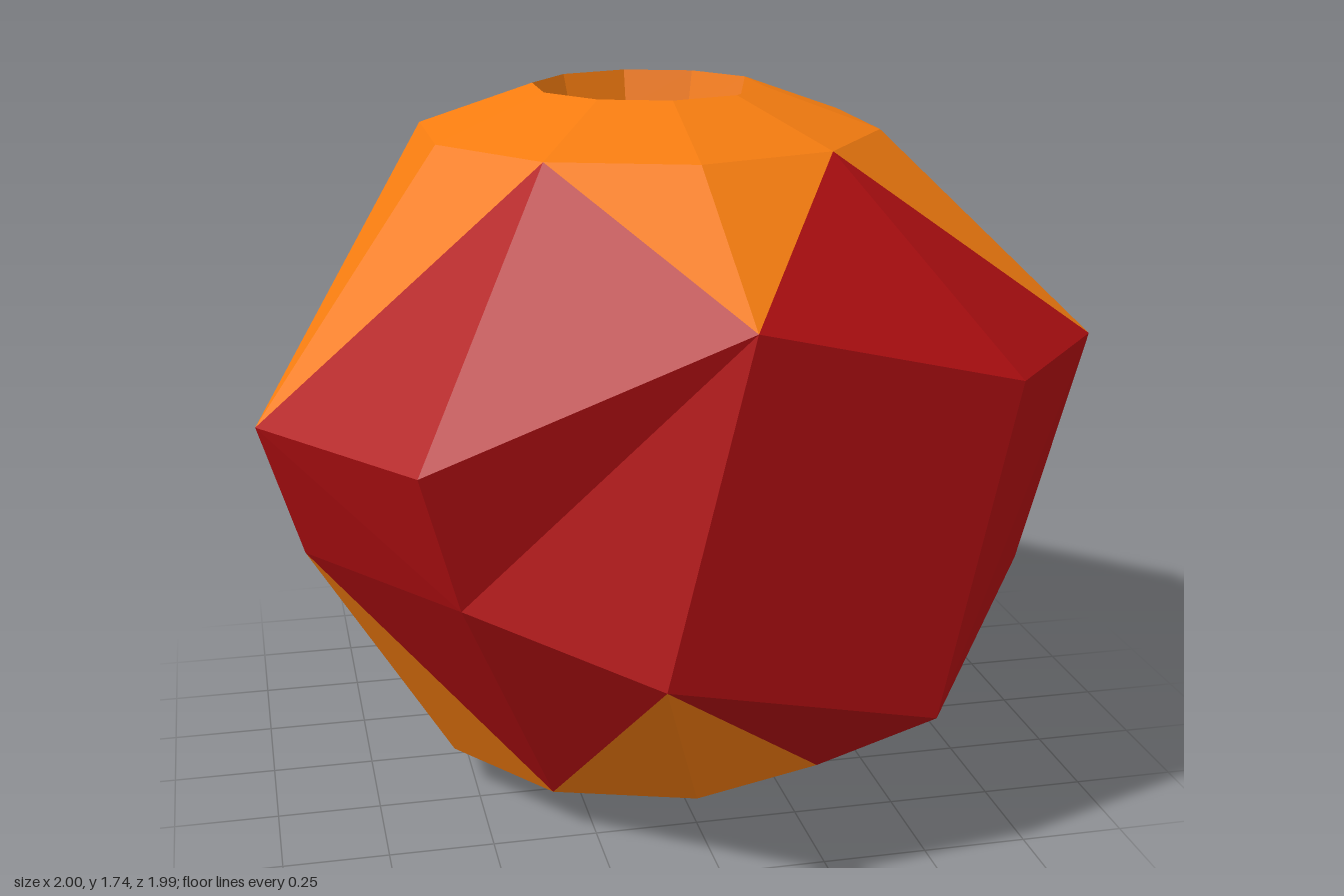
import * as THREE from 'three';

const CX = -0.015; // the bore sits slightly off centre
const HEIGHT = 1.735;
const red = new THREE.MeshStandardMaterial({ color: 0xb30f12, flatShading: true, side: THREE.DoubleSide });
const orange = new THREE.MeshStandardMaterial({ color: 0xf57c10, flatShading: true, side: THREE.DoubleSide });

// Ten irregular corners above and below the middle; even ones are star tips.
// Order runs from the front (+z) round through +x.
const UPPER = [
  [0.02, 1.345, 0.93], [0.68, 1.16, 0.77], [1, 1.155, 0.39], [1, 1.155, -0.4], [0.45, 1.32, -0.77],
  [-0.09, 1.235, -0.93], [-0.53, 1.11, -0.76], [-0.78, 1.14, -0.41], [-1, 1.035, 0.35], [-0.68, 1.04, 0.81],
];
const LOWER = [
  [-0.185, 0.585, 0.99], [0.48, 0.39, 0.84], [0.84, 0.585, 0.39], [0.84, 0.585, -0.4], [0.58, 0.5, -0.84],
  [0.05, 0.425, -1], [-0.65, 0.63, -0.8], [-0.9, 0.67, -0.44], [-0.9, 0.69, 0.26], [-0.59, 0.71, 0.75],
];

// Regular ten-sided ring around the bore
function ring(r, y) {
  return Array.from({ length: 10 }, (_, i) => {
    const a = (i * Math.PI) / 5;
    return [CX + r * Math.sin(a), y, r * Math.cos(a)];
  });
}

function facetMesh(name, triangles, material) {
  const geo = new THREE.BufferGeometry();
  geo.setAttribute('position', new THREE.Float32BufferAttribute(triangles.flat(2), 3));
  geo.computeVertexNormals();
  const mesh = new THREE.Mesh(geo, material);
  mesh.name = name;
  return mesh;
}

// Plain band of quads from a lower ring to an upper one, facing outwards
function band(low, high) {
  return low.flatMap((p, i) => {
    const j = (i + 1) % 10;
    return [[p, low[j], high[j]], [p, high[j], high[i]]];
  });
}

// Star cap (orange) and the red panels between its points
function cap(corners, top) {
  const level = (y) => (top ? y : HEIGHT - y);
  const shoulder = ring(0.565, level(1.635));
  const rim = ring(0.282, level(HEIGHT));
  const throat = ring(0.258, level(1.64));
  const star = [...band(shoulder, rim), ...band(rim, throat)];
  const panels = [];
  for (let t = 0; t < 10; t += 2) {
    const next = t + 1, prev = (t + 9) % 10;
    const tip = corners[t];
    star.push([tip, shoulder[next], shoulder[t]], [tip, shoulder[t], shoulder[prev]]);
    panels.push([tip, corners[next], shoulder[next]], [corners[prev], tip, shoulder[prev]]);
  }
  const orient = (list) => (top ? list : list.map(([a, b, c]) => [a, c, b]));
  return { star: orient(star), panels: orient(panels) };
}

export function createModel() {
  const group = new THREE.Group();
  group.name = 'facetedBead';

  // Middle band, each quad split from its upper star tip
  const middle = [];
  for (let i = 0; i < 10; i++) {
    const j = (i + 1) % 10;
    const a = LOWER[i], b = LOWER[j], c = UPPER[j], d = UPPER[i];
    if (i % 2 === 0) middle.push([a, b, d], [b, c, d]);
    else middle.push([a, b, c], [a, c, d]);
  }
  group.add(facetMesh('middleBand', middle, red));

  // Caps with their tapered bore mouths
  for (const top of [true, false]) {
    const { star, panels } = cap(top ? UPPER : LOWER, top);
    const prefix = top ? 'top' : 'bottom';
    group.add(facetMesh(prefix + 'StarCap', star, orange));
    group.add(facetMesh(prefix + 'Panels', panels, red));
  }

  // Hollow inside
  const profile = [[0.258, 0.095], [0.5, 0.22], [0.75, 0.65], [0.75, 1.1], [0.5, 1.515], [0.258, 1.64]];
  const lining = new THREE.Mesh(
    new THREE.LatheGeometry(profile.map(([r, y]) => new THREE.Vector2(r, y)), 10), red);
  lining.name = 'innerLining';
  lining.position.x = CX;
  group.add(lining);

  return group;
}
